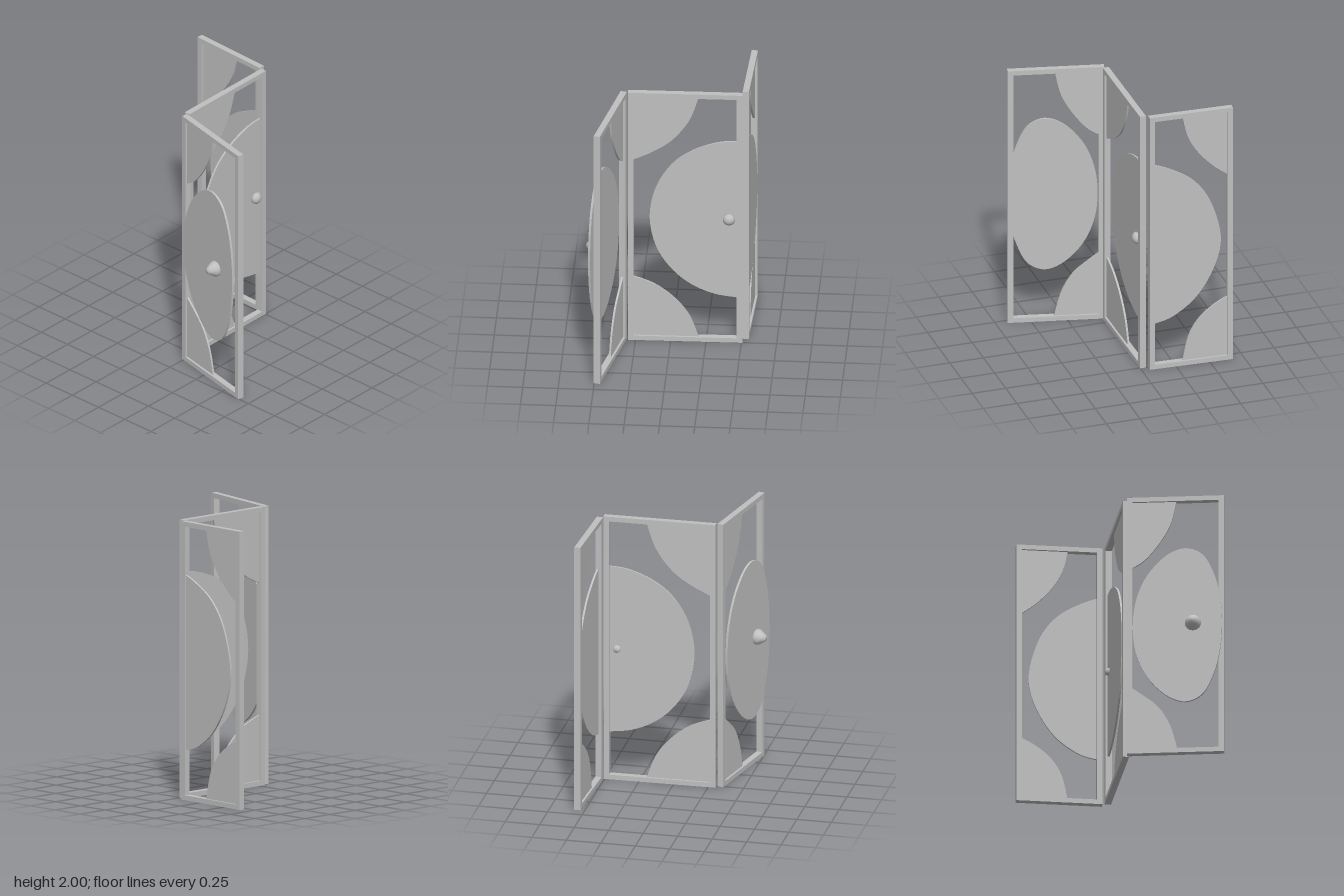
import * as THREE from 'three';

const grey = new THREE.MeshStandardMaterial({ color: 0xc0c0c0 });
grey.name = 'light grey';

// Upright plane between two floor points [x, z]; local x runs along it, local z is its normal
function makePlane(name, p, q) {
  const dx = q[0] - p[0], dz = q[1] - p[1];
  const group = new THREE.Group();
  group.name = name;
  group.position.set(p[0], 0, p[1]);
  group.rotation.y = -Math.atan2(dz, dx);
  const axis = Math.abs(dx) > Math.abs(dz) ? 0 : 1;
  const length = Math.hypot(dx, dz);
  // floor coordinate along the main axis -> distance along the plane
  const along = (a) => ((a - p[axis]) / (q[axis] - p[axis])) * length;
  return { group, along, length };
}

function add(group, name, geometry) {
  const mesh = new THREE.Mesh(geometry, grey);
  mesh.name = name;
  group.add(mesh);
  return mesh;
}

function extrude(shape, depth) {
  const g = new THREE.ExtrudeGeometry(shape, { depth, bevelEnabled: false, curveSegments: 4 });
  return g.translate(0, 0, -depth / 2);
}

// Rectangular frame with an open middle
function addFrame(plane) {
  const w = plane.length, bar = 0.04, bottom = 0.005;
  const shape = new THREE.Shape([
    new THREE.Vector2(0, bottom), new THREE.Vector2(w, bottom),
    new THREE.Vector2(w, 2), new THREE.Vector2(0, 2)]);
  shape.holes.push(new THREE.Path([
    new THREE.Vector2(bar, bottom + bar - 0.005), new THREE.Vector2(bar, 1.965),
    new THREE.Vector2(w - bar, 1.965), new THREE.Vector2(w - bar, bottom + bar - 0.005)]));
  add(plane.group, 'frame', extrude(shape, 0.045));
}

// Thin sheet bounded by a smooth curve, optionally closed through straight corners
function addSheet(plane, name, curve, corners = [], depth = 0.014) {
  const pt = ([a, y]) => new THREE.Vector2(plane.along(a), y);
  const pts = curve.map(pt);
  let outline;
  if (corners.length) {
    outline = new THREE.SplineCurve(pts).getPoints(40).concat(corners.map(pt));
  } else {
    const loop = new THREE.CatmullRomCurve3(pts.map((v) => new THREE.Vector3(v.x, v.y, 0)), true);
    outline = loop.getPoints(72).slice(0, -1).map((v) => new THREE.Vector2(v.x, v.y));
  }
  return add(plane.group, name, extrude(new THREE.Shape(outline), depth));
}

// Turned knob pointing along the plane's normal
function addKnob(plane, name, a, y, z, profile) {
  const pts = profile.map(([r, h]) => new THREE.Vector2(r, h));
  const knob = add(plane.group, name, new THREE.LatheGeometry(pts, 14));
  knob.rotation.x = Math.PI / 2;
  knob.position.set(plane.along(a), y, z);
}

export function createModel() {
  const model = new THREE.Group();
  model.name = 'foldingScreen';

  // Back panel
  const back = makePlane('backPanel', [-0.669, -0.553], [-0.057, -0.528]);
  addFrame(back);
  addSheet(back, 'upperCorner',
    [[-0.64, 1.465], [-0.53, 1.55], [-0.42, 1.67], [-0.34, 1.81], [-0.302, 1.97]], [[-0.64, 1.97]]);
  addSheet(back, 'lowerCorner',
    [[-0.64, 0.505], [-0.53, 0.445], [-0.42, 0.35], [-0.345, 0.22], [-0.303, 0.035]], [[-0.64, 0.035]]);

  // Half disc of the back panel, leaning slightly rearwards
  const backDisc = makePlane('backHalfDisc', [-0.578, -0.57], [-0.085, -0.537]);
  addSheet(backDisc, 'halfDisc',
    [[-0.085, 1.62], [-0.2, 1.575], [-0.37, 1.47], [-0.5, 1.29], [-0.577, 1.0],
      [-0.53, 0.76], [-0.4, 0.54], [-0.23, 0.405], [-0.085, 0.36]], [[-0.085, 0.9]]);

  // Middle panel
  const middle = makePlane('middlePanel', [-0.013, 0.303], [-0.02, -0.507]);
  addFrame(middle);
  addSheet(middle, 'upperCorner',
    [[0.275, 1.45], [0.13, 1.52], [-0.01, 1.62], [-0.13, 1.78], [-0.198, 1.97]], [[0.275, 1.97]]);
  addSheet(middle, 'lowerCorner',
    [[0.275, 0.515], [0.12, 0.455], [-0.02, 0.35], [-0.13, 0.21], [-0.198, 0.035]], [[0.275, 0.035]]);
  addSheet(middle, 'halfDisc',
    [[-0.475, 1.62], [-0.33, 1.605], [-0.15, 1.535], [0, 1.415], [0.11, 1.225], [0.15, 1.0],
      [0.11, 0.775], [0.01, 0.6], [-0.13, 0.47], [-0.3, 0.39], [-0.475, 0.362]], [[-0.475, 0.9]]);
  addKnob(middle, 'middleKnob', -0.412, 0.995, 0,
    [[0, -0.032], [0.022, -0.032], [0.028, -0.007], [0.042, 0.007],
      [0.044, 0.025], [0.03, 0.04], [0.014, 0.048], [0, 0.048]]);

  // Front panel
  const front = makePlane('frontPanel', [-0.01, 0.333], [0.661, 0.482]);
  addFrame(front);
  addSheet(front, 'upperCorner',
    [[0.015, 1.452], [0.11, 1.515], [0.21, 1.64], [0.29, 1.79], [0.332, 1.97]], [[0.015, 1.97]]);
  addSheet(front, 'lowerCorner',
    [[0.015, 0.53], [0.1, 0.465], [0.21, 0.365], [0.29, 0.22], [0.338, 0.035]], [[0.015, 0.035]]);

  // Oval standing proud of the front panel, with its knob
  const oval = makePlane('frontOval', [0.028, 0.372], [0.635, 0.537]);
  addSheet(oval, 'ovalDisc',
    [[0.39, 1.58], [0.27, 1.54], [0.13, 1.39], [0.05, 1.2], [0.025, 0.98], [0.05, 0.77],
      [0.13, 0.58], [0.27, 0.43], [0.39, 0.385], [0.5, 0.435], [0.58, 0.59], [0.622, 0.77],
      [0.637, 0.98], [0.622, 1.2], [0.58, 1.38], [0.5, 1.53]], [], 0.016);
  addKnob(oval, 'frontKnob', 0.44, 0.99, 0,
    [[0.05, 0], [0.058, 0.015], [0.055, 0.035], [0.034, 0.066], [0.02, 0.086], [0, 0.09]]);

  model.add(back.group, backDisc.group, middle.group, front.group, oval.group);
  return model;
}
